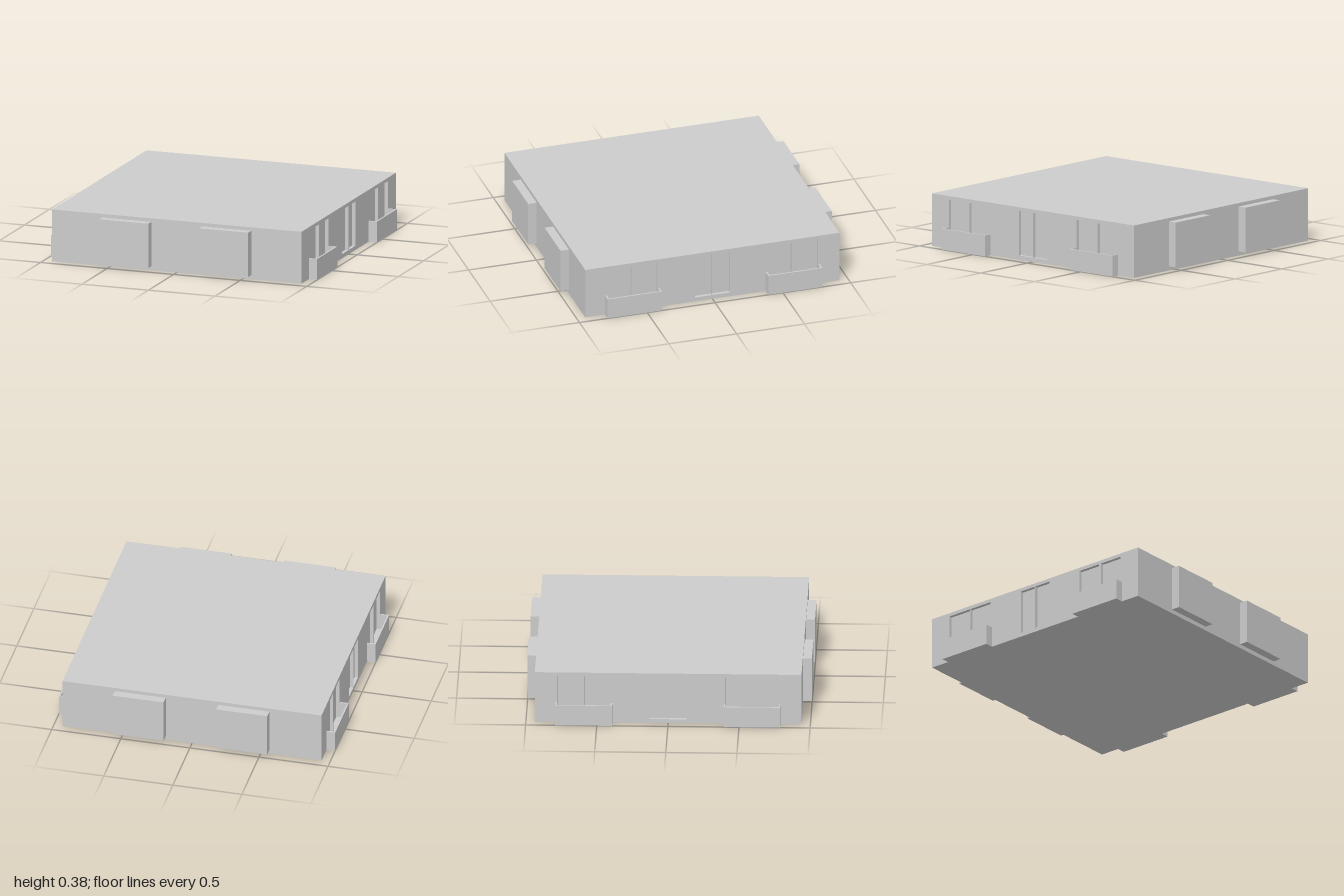
import * as THREE from 'three';

const H = 0.375, HALF = 0.9375, OUT = 1, RECESS = 0.025;
const SILL = 0.03, HEAD = 0.35;
const material = new THREE.MeshStandardMaterial({ color: 0xcccccc, flatShading: true });

// Box given by its minimum and maximum corners
function box(name, [x0, y0, z0], [x1, y1, z1]) {
  const mesh = new THREE.Mesh(new THREE.BoxGeometry(x1 - x0, y1 - y0, z1 - z0), material);
  mesh.position.set((x0 + x1) / 2, (y0 + y1) / 2, (z0 + z1) / 2);
  mesh.name = name;
  return mesh;
}

function rect(Type, x0, y0, x1, y1) {
  const p = new Type();
  p.moveTo(x0, y0);
  p.lineTo(x1, y0);
  p.lineTo(x1, y1);
  p.lineTo(x0, y1);
  p.closePath();
  return p;
}

// Outer wall layer with paired door and window openings
function sideWall() {
  const wall = rect(THREE.Shape, -HALF, 0, HALF, H);
  const openings = [
    [0.595, 0.78], [0.405, 0.59],     // front balcony doors
    [0.004, 0.13], [-0.13, -0.001],   // middle window
    [-0.585, -0.405], [-0.78, -0.6],  // rear balcony doors
  ];
  for (const [z0, z1] of openings) wall.holes.push(rect(THREE.Path, -z1, SILL, -z0, HEAD));
  const geometry = new THREE.ExtrudeGeometry(wall, { depth: RECESS, bevelEnabled: false });
  geometry.rotateY(Math.PI / 2);
  const mesh = new THREE.Mesh(geometry, material);
  mesh.position.x = HALF - RECESS;
  mesh.name = 'sideWall';
  return mesh;
}

// Open-topped balcony: floor, parapet and two end walls
function balcony(zMid) {
  const g = new THREE.Group();
  g.name = 'balcony';
  const top = 0.15, t = 0.012, z0 = zMid - 0.2, z1 = zMid + 0.2;
  g.add(
    box('balconyFloor', [HALF, 0, z0 + t], [OUT - t, SILL, z1 - t]),
    box('balconyParapet', [OUT - t, 0, z0], [OUT, top, z1]),
    box('balconyEnd', [HALF, 0, z0], [OUT - t, top, z0 + t]),
    box('balconyEnd', [HALF, 0, z1 - t], [OUT - t, top, z1]),
  );
  return g;
}

export function createModel() {
  const model = new THREE.Group();
  model.name = 'buildingStorey';
  const inner = HALF - RECESS;
  model.add(box('core', [-inner, 0, -HALF], [inner, H, HALF]));

  // The two halves match under a half turn
  for (const turn of [0, Math.PI]) {
    const half = new THREE.Group();
    half.name = turn ? 'rightAndBack' : 'leftAndFront';
    half.add(sideWall());
    for (const s of [-1, 1]) {
      half.add(balcony(s * 0.592));
      const x = s * 0.375;
      half.add(box('bayPanel', [x - 0.185, SILL, HALF], [x + 0.185, HEAD, OUT]));
    }
    half.rotation.y = turn;
    model.add(half);
  }
  return model;
}
